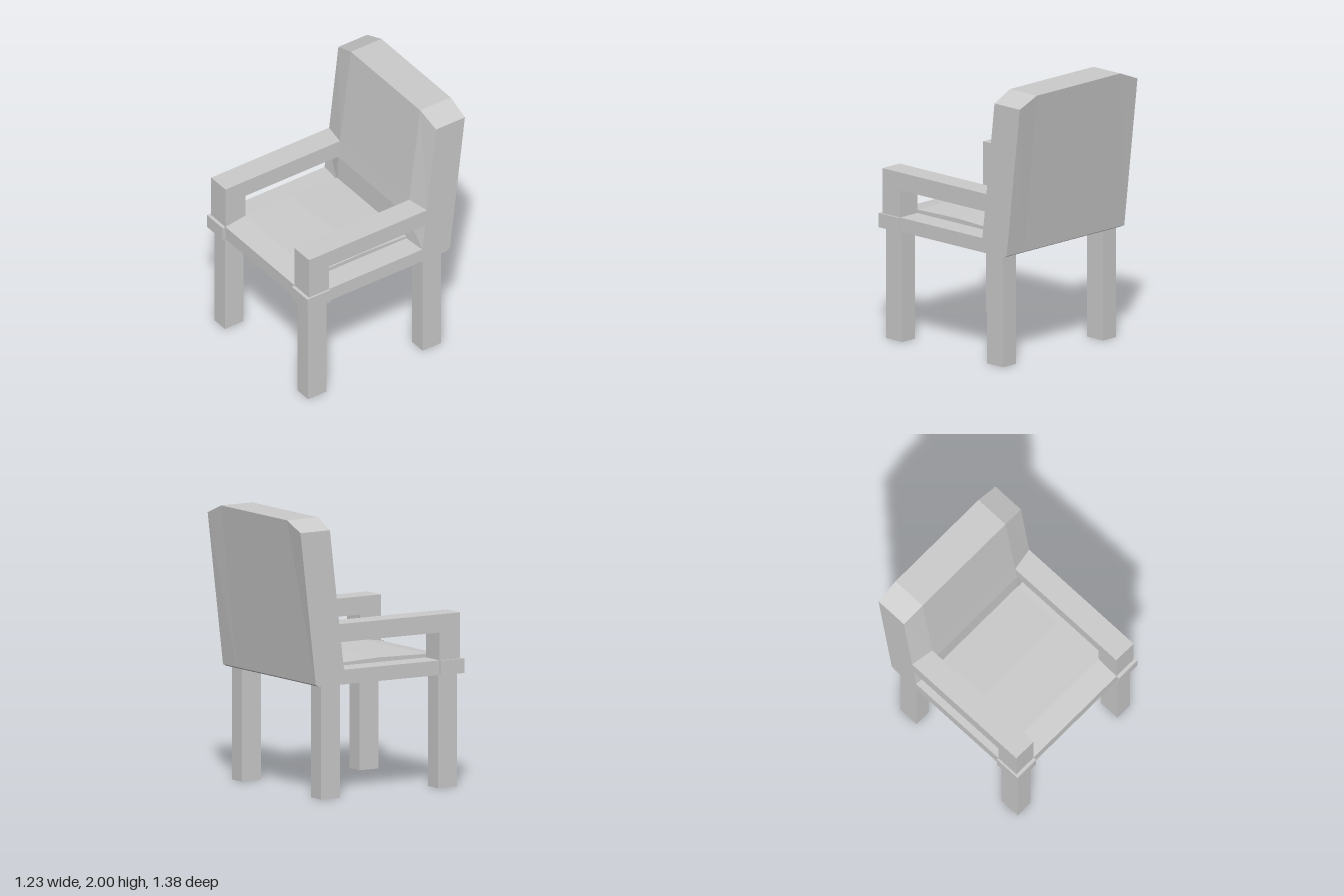
import * as THREE from 'three';

const material = new THREE.MeshStandardMaterial({ color: 0xcccccc, flatShading: true });

function addMesh(group, name, geometry) {
  const mesh = new THREE.Mesh(geometry, material);
  mesh.name = name;
  group.add(mesh);
}

// Box given by its extents along each axis
function block(x0, x1, y0, y1, z0, z1) {
  return new THREE.BoxGeometry(x1 - x0, y1 - y0, z1 - z0)
    .translate((x0 + x1) / 2, (y0 + y1) / 2, (z0 + z1) / 2);
}

// Side profile of [z, y] points, extruded from x0 to x1
function sideExtrude(points, x0, x1) {
  const shape = new THREE.Shape(points.map(([z, y]) => new THREE.Vector2(z, y)));
  return new THREE.ExtrudeGeometry(shape, { depth: x1 - x0, bevelEnabled: false })
    .rotateY(-Math.PI / 2).translate(x1, 0, 0);
}

// Skin equal-length [z, y] loops placed at increasing x, with flat end caps
function loftAcross(sections) {
  const positions = [], index = [];
  const n = sections[0].loop.length;
  for (const { x, loop } of sections) for (const [z, y] of loop) positions.push(x, y, z);
  for (let s = 0; s < sections.length - 1; s++) {
    for (let i = 0; i < n; i++) {
      const a = s * n + i, b = s * n + (i + 1) % n;
      index.push(a, b, b + n, a, b + n, a + n);
    }
  }
  const last = (sections.length - 1) * n;
  for (let i = 1; i < n - 1; i++) {
    index.push(0, i + 1, i, last, last + i, last + i + 1);
  }
  const geometry = new THREE.BufferGeometry();
  geometry.setAttribute('position', new THREE.Float32BufferAttribute(positions, 3));
  geometry.setIndex(index);
  const flat = geometry.toNonIndexed();
  flat.computeVertexNormals();
  return flat;
}

export function createModel() {
  const chair = new THREE.Group();
  chair.name = 'armchair';

  // Leaning backrest: clipped top corners and side edges set slightly back
  const edge = [[-0.32, 0.815], [-0.53, 0.815], [-0.56, 0.83], [-0.69, 1.93],
    [-0.44, 1.93], [-0.36, 1.25], [-0.345, 1.12], [-0.32, 0.92]];
  const middle = [[-0.305, 0.815], [-0.53, 0.815], [-0.56, 0.83], [-0.69, 2],
    [-0.425, 2], [-0.33, 1.25], [-0.312, 1.12], [-0.305, 0.92]];
  // Loops run clockwise seen from +x, so reverse them to face outward
  const wind = (loop) => [...loop].reverse();
  addMesh(chair, 'backrest', loftAcross([
    { x: -0.6, loop: wind(edge) }, { x: -0.425, loop: wind(middle) },
    { x: 0.425, loop: wind(middle) }, { x: 0.6, loop: wind(edge) },
  ].map(({ x, loop }) => ({ x, loop: wind(loop) }))));

  // Seat with a gently raised cushion surface
  addMesh(chair, 'seat', sideExtrude([[-0.33, 0.815], [0.665, 0.815], [0.665, 0.92],
    [0.49, 0.945], [0.09, 0.953], [-0.33, 0.937]], -0.425, 0.425));

  // Arm frame: seat rail, front post and armrest in one C-shaped profile
  const frame = [[-0.32, 0.815], [0.665, 0.815], [0.665, 1.25], [-0.36, 1.25],
    [-0.345, 1.12], [0.49, 1.12], [0.49, 0.92], [-0.32, 0.92]];

  for (const [side, s] of [['left', 1], ['right', -1]]) {
    const span = (a, b) => (s > 0 ? [a, b] : [-b, -a]);
    addMesh(chair, side + 'ArmFrame', sideExtrude(frame, ...span(0.425, 0.6)));
    addMesh(chair, side + 'CornerBlock', block(...span(0.425, 0.615), 0.815, 0.92, 0.49, 0.69));
    addMesh(chair, side + 'FrontLeg', block(...span(0.445, 0.575), 0, 0.82, 0.495, 0.655));
    addMesh(chair, side + 'BackLeg', block(...span(0.445, 0.575), 0, 0.82, -0.5, -0.34));
  }
  return chair;
}
